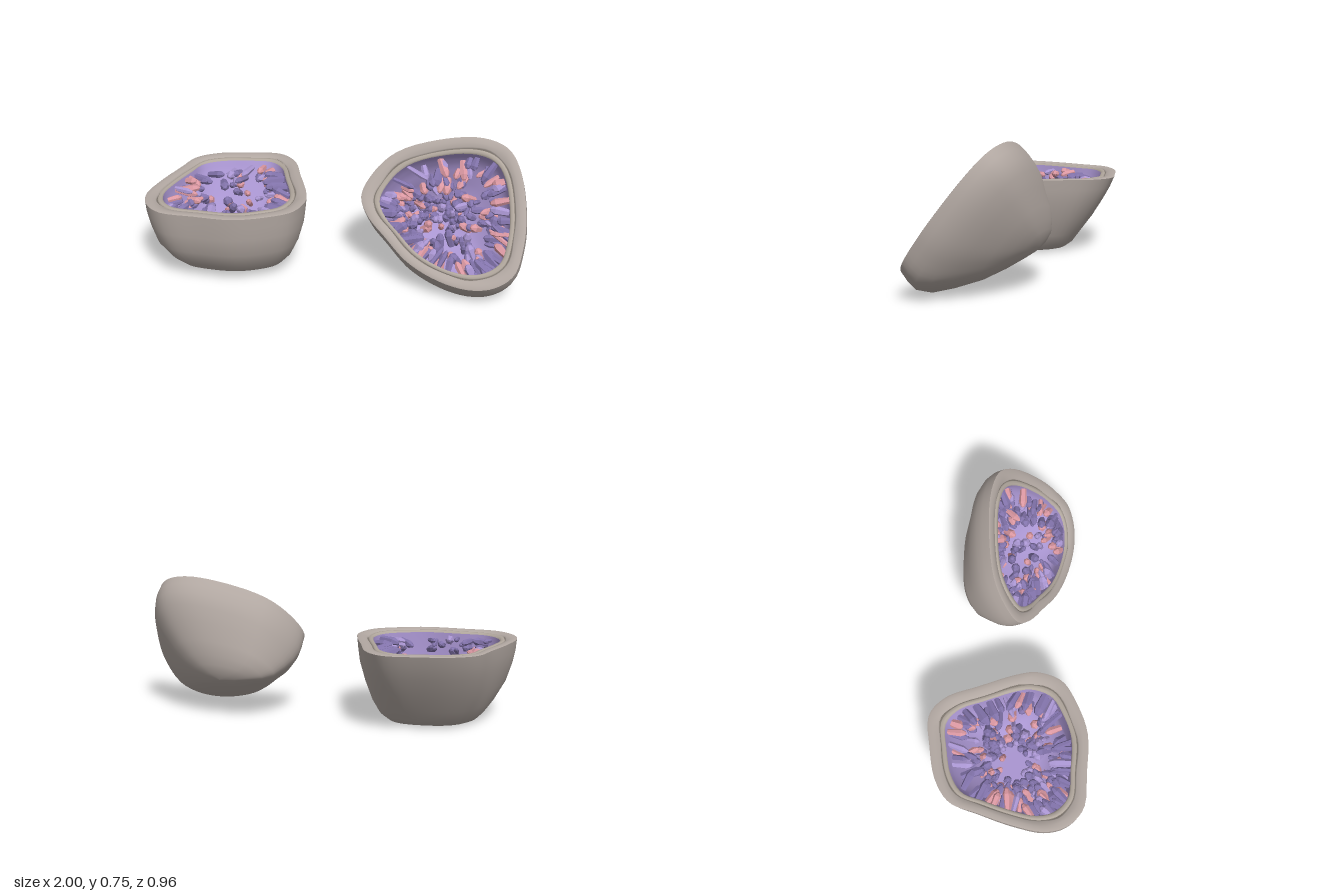
import * as THREE from 'three';
import { mergeGeometries } from 'three/addons/utils/BufferGeometryUtils.js';

const mat = (name, color, extra = {}) => {
  const m = new THREE.MeshStandardMaterial({ color, ...extra });
  m.name = name;
  return m;
};
const SEG = 72;

// Outlines of the cut face (x, z), relative to each half's centre
const outlineA = [
  [0.09, -0.41], [0.26, -0.395], [0.345, -0.3], [0.385, -0.12], [0.426, 0.1], [0.424, 0.2],
  [0.36, 0.32], [0.23, 0.38], [0.06, 0.413], [-0.15, 0.378], [-0.33, 0.335], [-0.41, 0.24],
  [-0.425, 0.12], [-0.37, -0.04], [-0.285, -0.21], [-0.215, -0.34], [-0.09, -0.4],
];
const outlineB = [
  [-0.477, -0.037], [-0.44, -0.161], [-0.327, -0.297], [-0.094, -0.396], [0.123, -0.427],
  [0.26, -0.384], [0.341, -0.266], [0.4, -0.025], [0.405, 0.124], [0.378, 0.265],
  [0.29, 0.343], [0.167, 0.372], [0.002, 0.35], [-0.177, 0.275], [-0.316, 0.161], [-0.425, 0.062],
];

// Cross-sections below the cut: depth, scale x, scale z, offset x, offset z, roundness
const levelsA = [
  [0, 1, 1, 0, 0, 0], [0.06, 0.99, 0.965, 0, 0.01, 0.05], [0.13, 0.965, 0.91, 0.003, 0.025, 0.1],
  [0.23, 0.9, 0.82, 0.005, 0.048, 0.2], [0.33, 0.785, 0.66, 0.015, 0.055, 0.35],
  [0.39, 0.68, 0.53, 0.02, 0.045, 0.45], [0.42, 0.59, 0.42, 0.018, 0.04, 0.5],
  [0.43, 0.5, 0.33, 0.015, 0.035, 0.5], [0.43, 0, 0, 0.015, 0.035, 0.5],
];
const levelsB = [
  [0, 1, 1, 0, 0, 0], [0.05, 1.005, 1.01, 0, 0.01, 0], [0.1, 0.985, 1.005, -0.005, 0.022, 0],
  [0.16, 0.93, 0.93, -0.018, 0.022, 0.05], [0.22, 0.83, 0.77, -0.04, 0.015, 0.1],
  [0.29, 0.69, 0.57, -0.075, -0.005, 0.2], [0.335, 0.54, 0.38, -0.1, -0.025, 0.3],
  [0.365, 0.38, 0.23, -0.115, -0.045, 0.4], [0.383, 0.2, 0.11, -0.12, -0.05, 0.5],
  [0.388, 0, 0, -0.12, -0.05, 0.5],
];

function seeded(seed) {
  return () => {
    seed = (seed * 16807) % 2147483647;
    return seed / 2147483647;
  };
}

// Skin over closed rings, ordered from the cavity floor up, over the rim and down the outside
function loft(name, rows, material) {
  const g = new THREE.BufferGeometry().setFromPoints(rows.flat());
  const index = [];
  for (let i = 0; i < rows.length - 1; i++) {
    for (let j = 0; j < SEG; j++) {
      const a = i * SEG + j, b = i * SEG + ((j + 1) % SEG);
      index.push(a, b, a + SEG, b, b + SEG, a + SEG);
    }
  }
  g.setIndex(index);
  g.computeVertexNormals();
  const mesh = new THREE.Mesh(g, material);
  mesh.name = name;
  return mesh;
}

// Six-sided crystal with a pointed tip, growing along +y
function crystalGeometry(r, len, rand) {
  const g = new THREE.LatheGeometry([
    new THREE.Vector2(r * 0.75, 0), new THREE.Vector2(r, len * 0.7),
    new THREE.Vector2(r * 0.5, len * 0.93), new THREE.Vector2(0, len),
  ], 6);
  g.rotateY(rand() * 6);
  return g;
}

function makeHalf(name, outline, levels, mats, seed) {
  const half = new THREE.Group();
  half.name = name;
  const rand = seeded(seed);
  const base = new THREE.CatmullRomCurve3(outline.map(([x, z]) => new THREE.Vector3(x, 0, z)), true)
    .getPoints(SEG).slice(0, SEG);

  // Position on the body: t runs from rim (0) to lowest point (1)
  const place = (j, t, scale, depthScale) => {
    const f = Math.min(t, 0.9999) * (levels.length - 1), i = Math.floor(f);
    const [d, sx, sz, ox, oz, round] = levels[i].map((v, k) => THREE.MathUtils.lerp(v, levels[i + 1][k], f - i));
    const p = base[j].clone().lerp(base[j].clone().setLength(0.42), round);
    return new THREE.Vector3(p.x * sx * scale + ox, -d * depthScale, p.z * sz * scale + oz);
  };
  // Ring lying on the cut face, gently uneven
  const rimRow = (scale, y, wobble = 0) => base.map((p, j) => {
    const a = (j / SEG) * Math.PI * 2;
    const w = wobble * (Math.sin(a * 7 + seed) + 0.7 * Math.sin(a * 12 + seed * 2));
    return new THREE.Vector3(p.x * (scale + w), y + w * 0.3, p.z * (scale + w));
  });
  const inner = 0.79, innerDepth = 0.77;

  // Stone outside
  half.add(loft('outerShell',
    levels.map((_, i) => base.map((__, j) => place(j, i / (levels.length - 1), 1, 1))), mats.stone));

  // Cut face: outer band, dark seam, inner band
  half.add(loft('rimOuterBand', [
    rimRow(0.86, -0.01, 0.006), rimRow(0.872, -0.002, 0.006), rimRow(0.93, 0.004), rimRow(0.98, 0.003), rimRow(1, 0),
  ], mats.stone));
  half.add(loft('rimSeam', [rimRow(0.85, -0.01, 0.002), rimRow(0.86, -0.01, 0.006)], mats.seam));
  half.add(loft('rimInnerBand', [
    rimRow(inner, -0.012), rimRow(0.805, -0.002, 0.003), rimRow(0.84, -0.002, 0.002), rimRow(0.85, -0.01, 0.002),
  ], mats.band));

  // Violet cavity lining
  const lining = [];
  for (let i = 16; i >= 0; i--) {
    lining.push(base.map((_, j) => {
      const p = place(j, i / 16, inner, innerDepth);
      p.y -= 0.012;
      return p;
    }));
  }
  half.add(loft('cavityLining', lining, mats.lining));

  // Crystals leaning from the walls towards the middle of the cavity
  const sets = { violet: [], lilac: [], pink: [] };
  const up = new THREE.Vector3(0, 1, 0), q = new THREE.Quaternion();
  for (let k = 0; k < 270; k++) {
    const t = 0.07 + 0.87 * Math.pow(rand(), 1.15);
    const j = Math.floor(rand() * SEG);
    const pos = place(j, t, inner * 1.01, innerDepth);
    const target = new THREE.Vector3((rand() - 0.5) * 0.24, -0.1 + rand() * 0.14, (rand() - 0.5) * 0.24);
    const dir = target.sub(pos).normalize();
    const r = 0.014 + rand() * 0.014;
    const len = (0.07 + rand() * 0.07) * (1 - 0.4 * t);
    const g = crystalGeometry(r, len, rand);
    g.applyQuaternion(q.setFromUnitVectors(up, dir));
    g.translate(pos.x, pos.y - 0.01, pos.z);
    const pick = rand();
    sets[pick < 0.24 ? 'pink' : pick < 0.42 ? 'lilac' : 'violet'].push(g);
  }
  for (const [key, list] of Object.entries(sets)) {
    const mesh = new THREE.Mesh(mergeGeometries(list), mats[key]);
    mesh.name = key + 'Crystals';
    half.add(mesh);
  }
  return half;
}

export function createModel() {
  const mats = {
    stone: mat('stone grey', 0xb2a8a2),
    band: mat('pale band', 0xb2a89e),
    seam: mat('dark seam', 0x7d756d),
    lining: mat('violet lining', 0xaa96d2, { side: THREE.DoubleSide }),
    violet: mat('violet crystal', 0x8374ac, { flatShading: true }),
    lilac: mat('lilac crystal', 0xaa96d2, { flatShading: true }),
    pink: mat('pink crystal', 0xdb98a2, { flatShading: true }),
  };
  const model = new THREE.Group();
  model.name = 'splitGeode';

  // Half lying with its cut face level
  const flat = makeHalf('lyingHalf', outlineA, levelsA, mats, 17);
  flat.position.set(-0.573, 0.43, -0.07);

  // Half tipped up, cut face towards the front
  const tipped = makeHalf('tippedHalf', outlineB, levelsB, mats, 91);
  const n = new THREE.Vector3(-0.21, 0.59, 0.78).normalize();
  const u = new THREE.Vector3(0, 1, 0).cross(n).normalize();
  tipped.quaternion.setFromRotationMatrix(new THREE.Matrix4().makeBasis(u, n, u.clone().cross(n)));
  tipped.position.set(0.6, 0.4, 0.21);

  model.add(flat, tipped);
  return model;
}
